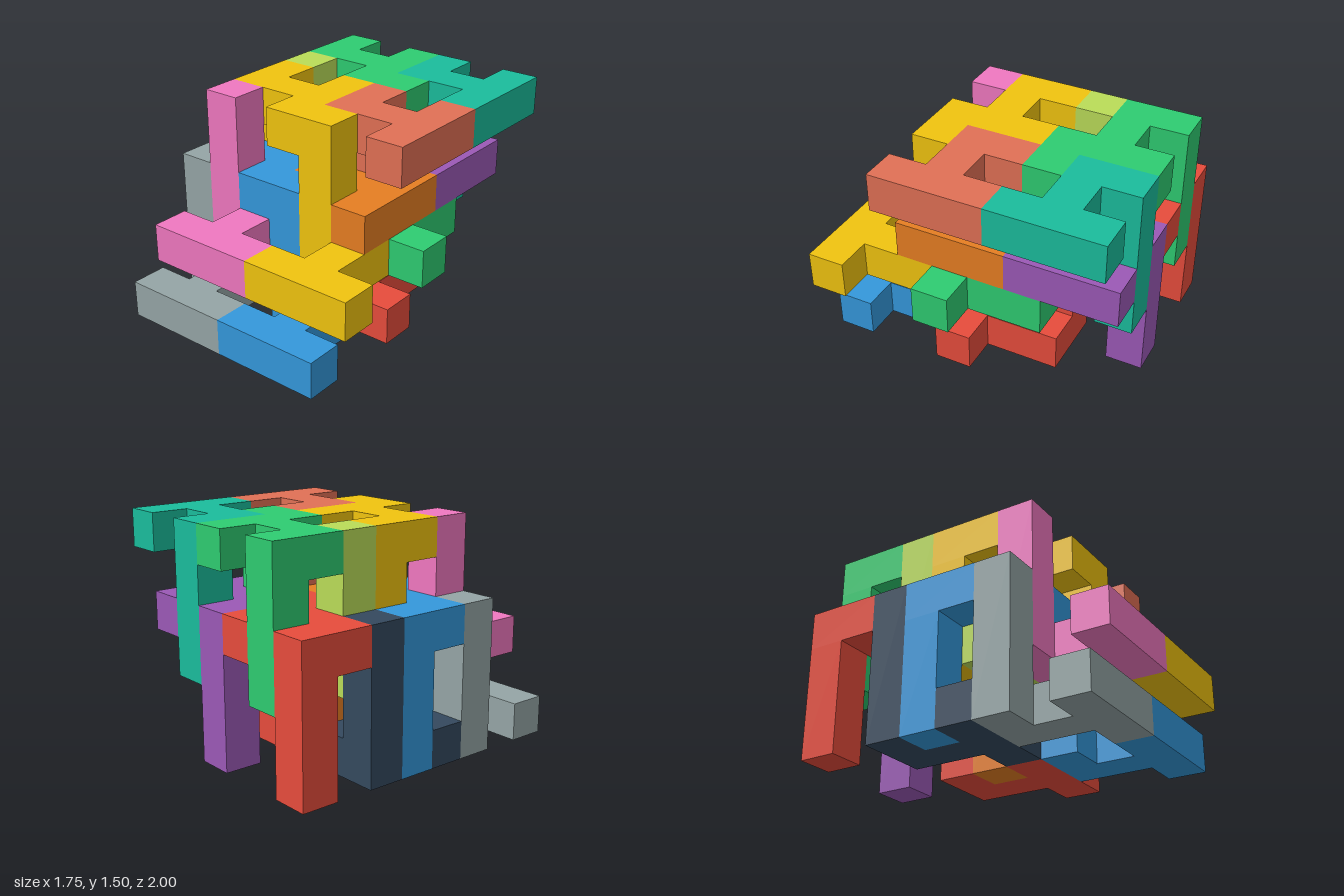
import * as THREE from 'three';

const S = 0.25; // edge of one grid cell

// Bar filling the inclusive cell ranges [x0,x1], [y0,y1], [z0,z1]
function addBar(piece, name, material, [x0, x1], [y0, y1], [z0, z1]) {
  const size = (a, b) => (b - a + 1) * S;
  const mesh = new THREE.Mesh(
    new THREE.BoxGeometry(size(x0, x1), size(y0, y1), size(z0, z1)), material);
  mesh.name = name;
  mesh.position.set(
    (x0 + x1 + 1) * S / 2 - 0.875,
    (y0 + y1 + 1) * S / 2,
    (z0 + z1 + 1) * S / 2 - 1);
  piece.add(mesh);
}

// Interlocking piece: a lower foot with a tall post, and/or an upper hook with a hanging post.
// a, c: cell of the tall post; dx, dy: shift of the whole set.
function makePiece(name, color, a, c, dx, dy) {
  const piece = new THREE.Group();
  piece.name = name;
  const material = new THREE.MeshStandardMaterial({ color });
  const bar = (part, x, y, z) => addBar(piece, part, material,
    x.map(v => v + dx), y.map(v => v + dy), z);

  if (a < 6) { // lower half
    bar('tallPost', [a, a], [0, 3], [c, c]);
    bar('footStem', [a + 1, a + 1], [0, 0], [c, c + 1]);
    bar('footCrossbar', [a, a + 2], [0, 0], [c + 2, c + 2]);
  }
  if (a > 0) { // upper half
    bar('topLongArm', [a - 1, a - 1], [3, 3], [c - 2, c]);
    bar('topBridge', [a - 2, a - 2], [3, 3], [c - 1, c - 1]);
    bar('topShortArm', [a - 3, a - 3], [3, 3], [c - 2, c - 1]);
    bar('hangingPost', [a - 3, a - 3], [0, 2], [c - 2, c - 2]);
  }
  return piece;
}

export function createModel() {
  const model = new THREE.Group();
  model.name = 'interlockingBlocks';

  // Two interleaved sets; each row lists the pieces from -x to +x, front row first
  const sets = [
    { dx: 0, dy: 0, rows: [
      [['grayPiece', 0x95a5a6], ['bluePiece', 0x3498db], ['orangePiece', 0xe67e22]],
      [['navyPiece', 0x34495e], ['redPiece', 0xe74c3c], ['purplePiece', 0x9b59b6]],
    ] },
    { dx: 1, dy: 2, rows: [
      [['pinkPiece', 0xf078c0], ['yellowPiece', 0xf1c40f], ['salmonPiece', 0xe17055]],
      [['limePiece', 0xbadc58], ['greenPiece', 0x2ecc71], ['tealPiece', 0x1abc9c]],
    ] },
  ];
  for (const { dx, dy, rows } of sets) {
    rows.forEach((row, r) => row.forEach(([name, color], i) => {
      model.add(makePiece(name, color, 3 * i, 5 - 3 * r, dx, dy));
    }));
  }
  return model;
}
